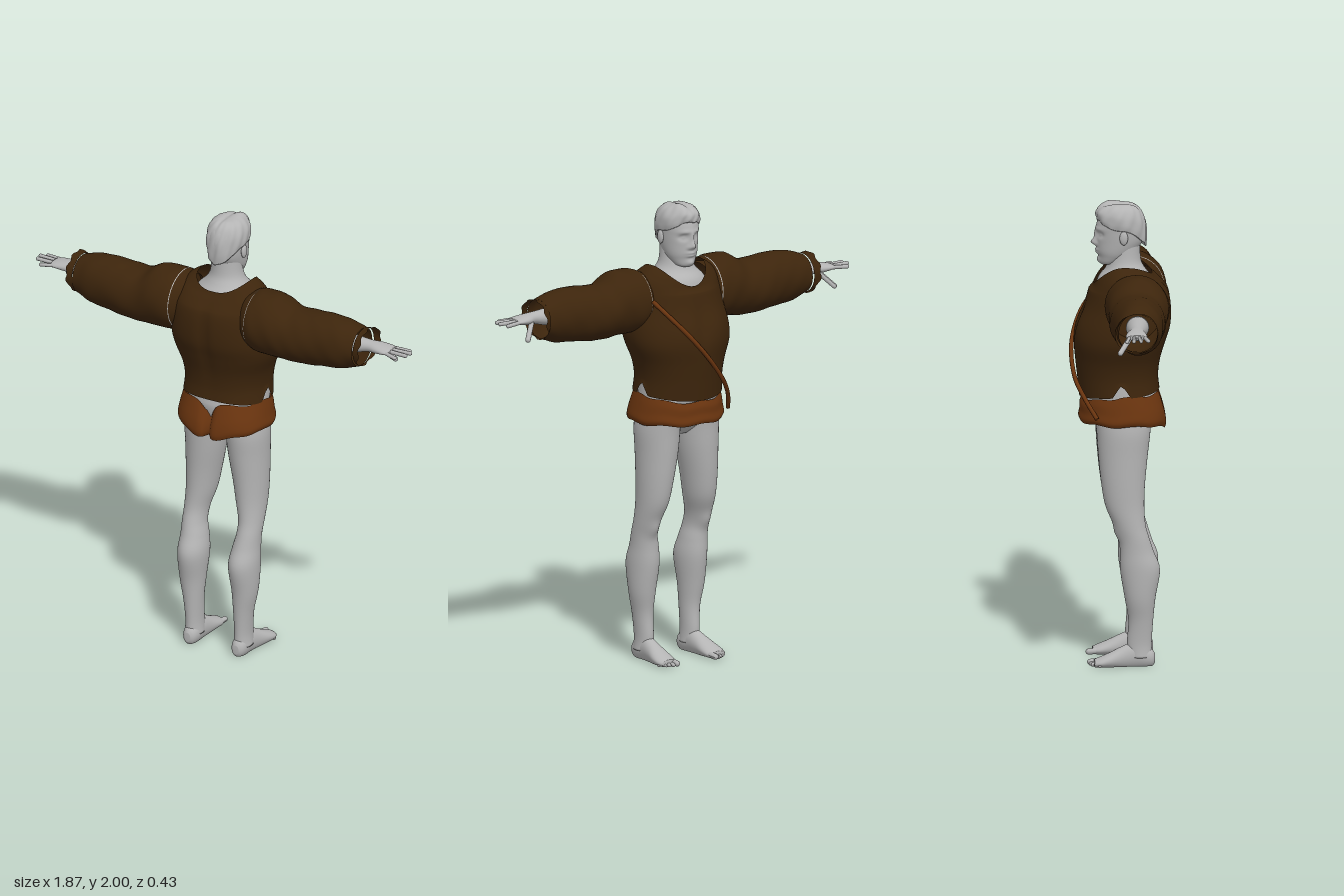
import * as THREE from 'three';

const { sin, cos, abs, sign, exp, max, PI } = Math;
const bell = (d, w) => exp(-(d * d) / (w * w));

// Smooth surface through elliptical rings [t, centreU, centreV, radiusU, radiusV] along one axis.
// Axis y: u = x, v = z.  Axis x: u = z, v = y.  Axis z: u = y, v = x.
function loft(rings, { axis = 'y', seg = 40, sub = 5, warp, eFront = 1, eBack = 1, caps = [true, true] } = {}) {
  const rows = [], pos = [], idx = [];
  for (let i = 0; i < rings.length - 1; i++) {
    const a = rings[max(i - 1, 0)], b = rings[i], c = rings[i + 1], d = rings[Math.min(i + 2, rings.length - 1)];
    const steps = i === rings.length - 2 ? sub + 1 : sub;
    for (let k = 0; k < steps; k++) {
      const f = k / sub;
      rows.push(b.map((_, n) => 0.5 * (2 * b[n] + (c[n] - a[n]) * f
        + (2 * a[n] - 5 * b[n] + 4 * c[n] - d[n]) * f * f + (3 * b[n] - a[n] - 3 * c[n] + d[n]) * f ** 3)));
    }
  }
  const place = (t, u, v, a) => {
    const p = axis === 'y' ? new THREE.Vector3(u, t, v)
      : axis === 'x' ? new THREE.Vector3(t, v, u) : new THREE.Vector3(v, u, t);
    if (warp) warp(p, a, t);
    pos.push(p.x, p.y, p.z);
  };
  for (const [t, cu, cv, ru, rv] of rows) {
    for (let j = 0; j < seg; j++) {
      const a = j / seg * 2 * PI, c = cos(a), s = sin(a), e = s < 0 ? eFront : eBack;
      place(t, cu + ru * sign(c) * abs(c) ** e, cv + rv * sign(s) * abs(s) ** e, a);
    }
  }
  const n = rows.length;
  for (let i = 0; i < n - 1; i++) for (let j = 0; j < seg; j++) {
    const k = (j + 1) % seg, p = i * seg, q = p + seg;
    idx.push(p + j, q + j, p + k, p + k, q + j, q + k);
  }
  [0, n - 1].forEach((r, end) => {
    if (!caps[end]) return;
    const centre = pos.length / 3;
    place(rows[r][0], rows[r][1], rows[r][2], 0);
    for (let j = 0; j < seg; j++) {
      const k = (j + 1) % seg;
      idx.push(centre, r * seg + (end ? k : j), r * seg + (end ? j : k));
    }
  });
  const g = new THREE.BufferGeometry();
  g.setAttribute('position', new THREE.Float32BufferAttribute(pos, 3));
  g.setIndex(idx);
  g.computeVertexNormals();
  return g;
}

// Rounded rod between two points
function rod(a, b, r) {
  const p = new THREE.Vector3(...a), q = new THREE.Vector3(...b), d = q.clone().sub(p);
  const g = new THREE.CapsuleGeometry(r, d.length(), 5, 10);
  g.applyQuaternion(new THREE.Quaternion().setFromUnitVectors(new THREE.Vector3(0, 1, 0), d.normalize()));
  return g.translate(...p.add(q).multiplyScalar(0.5).toArray());
}

const ball = (x, y, z, rx, ry, rz) => new THREE.SphereGeometry(1, 20, 14).scale(rx, ry, rz).translate(x, y, z);

// Mirror image across x = 0 with corrected winding
function mirror(g) {
  const m = g.clone().scale(-1, 1, 1), ix = m.index.array;
  for (let i = 0; i < ix.length; i += 3) [ix[i], ix[i + 1]] = [ix[i + 1], ix[i]];
  m.computeVertexNormals();
  return m;
}

export function createModel() {
  const root = new THREE.Group();
  const material = (name, color) => Object.assign(new THREE.MeshStandardMaterial({ color }), { name });
  const skin = material('skin grey', 0xb4b4b4);
  const cloth = material('dark brown cloth', 0x3d250c);
  const leather = material('russet leather', 0x6b350f);
  cloth.side = leather.side = THREE.DoubleSide;
  const add = (name, g, mat) => {
    const m = new THREE.Mesh(g, mat);
    m.name = name;
    root.add(m);
  };
  const pair = (name, g, mat) => {
    add('left ' + name, g, mat);
    add('right ' + name, mirror(g), mat);
  };

  // Trunk and neck
  add('body', loft([
    [0.99, 0, 0.01, 0.05, 0.05], [1.03, 0, 0.005, 0.13, 0.09], [1.08, 0, 0.005, 0.17, 0.13],
    [1.15, 0, 0, 0.18, 0.155], [1.2, 0, -0.005, 0.18, 0.155], [1.3, 0, -0.005, 0.175, 0.15],
    [1.4, 0, 0, 0.19, 0.16], [1.52, 0, 0.02, 0.19, 0.15], [1.61, 0, 0.025, 0.17, 0.135],
    [1.67, 0, 0.02, 0.13, 0.115], [1.71, 0, 0.02, 0.09, 0.085], [1.75, 0, 0.017, 0.071, 0.07],
    [1.82, 0, 0.02, 0.064, 0.064]]), skin);

  // Head with the face pressed into its front: [x, y, push, width, height]
  const face = [
    [0, 1.855, 0.010, 0.010, 0.030], [0, 1.825, 0.022, 0.012, 0.014], [0.014, 1.818, 0.008, 0.009, 0.008],
    [0.034, 1.862, -0.015, 0.018, 0.013], [0.033, 1.861, 0.008, 0.010, 0.007], [0.03, 1.885, 0.006, 0.025, 0.009],
    [0, 1.793, 0.010, 0.020, 0.006], [0, 1.780, 0.009, 0.018, 0.006], [0, 1.748, 0.010, 0.020, 0.014]];
  add('head', loft([
    [1.728, 0, -0.055, 0.022, 0.025], [1.738, 0, -0.045, 0.043, 0.043], [1.765, 0, -0.025, 0.06, 0.068],
    [1.79, 0, -0.015, 0.069, 0.084], [1.83, 0, -0.002, 0.076, 0.099], [1.87, 0, 0.002, 0.08, 0.105],
    [1.91, 0, 0.004, 0.082, 0.104], [1.95, 0, 0.005, 0.074, 0.09], [1.98, 0, 0.005, 0.05, 0.06]], {
    seg: 112, sub: 7, warp(p, a) {
      const x = p.x, y = p.y;
      if (sin(a) < -0.3) for (const [bx, by, push, w, h] of face)
        p.z -= push * bell(abs(x) - bx, w) * bell(y - by, h);
    } }), skin);
  pair('ear', ball(0.083, 1.855, 0.012, 0.010, 0.03, 0.018).rotateZ(0), skin);

  // Swept hair: hairline low at the nape, high on the forehead
  add('hair', loft([
    [1.885, 0, 0.004, 0.085, 0.106], [1.91, 0, 0.004, 0.089, 0.109], [1.945, 0, 0.003, 0.086, 0.105],
    [1.975, 0, 0.003, 0.07, 0.085], [1.99, 0, 0.002, 0.045, 0.055], [1.994, 0, 0.002, 0.012, 0.015]], {
    seg: 96, warp(p, a, t) {
      const f = max(0, (1.99 - t) / 0.105), s = sin(a);
      p.y += f * (s < 0 ? 0.045 * s * s : -0.075 * s * s);
      const swell = 1 + 0.018 * sin(13 * a + 60 * t) + 0.012 * sin(7 * a - 40 * t);
      p.x *= swell;
      p.z *= swell;
      p.y += 0.010 * bell(p.x - 0.03, 0.025) * bell(p.z + 0.05, 0.04) - 0.006 * bell(p.x + 0.01, 0.012);
    } }), skin);

  // Legs and feet
  pair('leg', loft([
    [0.04, 0.122, 0.08, 0.04, 0.052], [0.1, 0.122, 0.077, 0.036, 0.053], [0.2, 0.125, 0.083, 0.042, 0.053],
    [0.3, 0.13, 0.08, 0.055, 0.066], [0.42, 0.127, 0.08, 0.064, 0.085], [0.5, 0.13, 0.066, 0.057, 0.072],
    [0.56, 0.136, 0.055, 0.051, 0.064], [0.62, 0.135, 0.035, 0.053, 0.068], [0.7, 0.125, 0.015, 0.064, 0.083],
    [0.8, 0.117, 0.008, 0.074, 0.094], [0.92, 0.107, 0.008, 0.085, 0.106], [1.02, 0.103, 0.01, 0.09, 0.115],
    [1.1, 0.098, 0.005, 0.084, 0.12]], { warp(p) {
    p.z -= 0.012 * bell(p.x - 0.136, 0.03) * bell(p.y - 0.58, 0.035) * (p.z < 0.05 ? 1 : 0);
  } }), skin);
  pair('foot', loft([
    [-0.115, 0.014, 0.132, 0.016, 0.035], [-0.09, 0.018, 0.131, 0.022, 0.047], [-0.05, 0.026, 0.129, 0.032, 0.047],
    [0, 0.036, 0.125, 0.047, 0.04], [0.05, 0.045, 0.122, 0.057, 0.036], [0.1, 0.04, 0.121, 0.05, 0.036],
    [0.13, 0.035, 0.121, 0.038, 0.028], [0.143, 0.033, 0.121, 0.02, 0.014]],
  { axis: 'z', warp(p) { p.y = max(p.y, 0); } }), skin);
  for (let i = 0; i < 5; i++) {
    const x = 0.1 + i * 0.0165, r = i ? 0.0085 : 0.013;
    pair('toe ' + (i + 1), rod([x, r + 0.004, -0.09], [x + 0.003, r, -0.132 + i * i * 0.0025], r), skin);
  }

  // Forearms, palms, fingers and thumbs
  pair('hand', loft([
    [0.58, 0.055, 1.575, 0.05, 0.05], [0.68, 0.05, 1.582, 0.038, 0.035], [0.735, 0.048, 1.587, 0.031, 0.026],
    [0.78, 0.044, 1.587, 0.042, 0.023], [0.82, 0.044, 1.587, 0.046, 0.017], [0.845, 0.044, 1.587, 0.042, 0.011]],
  { axis: 'x' }), skin);
  [[0.012, 0.905, 0.0], [0.034, 0.925, 0.029], [0.055, 0.92, 0.06], [0.076, 0.885, 0.092]].forEach(([z, x, tip], i) =>
    pair('finger ' + (i + 1), rod([0.825, 1.587, z], [x, 1.592 - abs(i - 1.5) * 0.006, tip], 0.0088), skin));
  pair('thumb', rod([0.765, 1.575, 0.02], [0.818, 1.515, -0.025], 0.0115), skin);

  // Vest: scooped neckline, spine groove, notched hem at the sides
  add('vest', loft([
    [1.18, 0, -0.005, 0.193, 0.171], [1.25, 0, -0.012, 0.188, 0.173], [1.32, 0, -0.012, 0.2, 0.181],
    [1.4, 0, -0.004, 0.23, 0.196], [1.47, 0, 0.013, 0.236, 0.2], [1.55, 0, 0.03, 0.225, 0.186],
    [1.62, 0, 0.034, 0.214, 0.17], [1.68, 0, 0.025, 0.195, 0.145], [1.715, 0, 0.015, 0.16, 0.13],
    [1.735, 0, 0.01, 0.124, 0.125]], {
    seg: 96, eBack: 0.82, caps: [false, false], warp(p, a, t) {
      const s = sin(a), top = max(0, (t - 1.62) / 0.115), hem = max(0, (1.25 - t) / 0.07);
      p.y -= top * s * s * (s < 0 ? 0.085 : 0.042);
      p.y += hem * (0.06 * max(0, 1 - abs(p.z) / 0.04) + (s < 0 ? -0.02 : 0.015) * s * s);
      if (s > 0) p.z -= 0.012 * bell(p.x, 0.025) * bell(t - 1.5, 0.16);
      else p.z -= 0.008 * (bell(abs(p.x) - 0.09, 0.06) - bell(p.x, 0.03)) * bell(t - 1.48, 0.08);
    } }), cloth);

  // Puffed sleeves, shoulder seams and torn cuffs
  pair('sleeve', loft([
    [0.15, 0.055, 1.59, 0.11, 0.11], [0.19, 0.06, 1.588, 0.132, 0.13], [0.23, 0.065, 1.585, 0.137, 0.138],
    [0.3, 0.067, 1.583, 0.129, 0.137], [0.37, 0.063, 1.562, 0.121, 0.121], [0.45, 0.06, 1.563, 0.119, 0.12],
    [0.54, 0.06, 1.572, 0.107, 0.118], [0.62, 0.06, 1.573, 0.1, 0.111], [0.67, 0.056, 1.575, 0.09, 0.096],
    [0.7, 0.055, 1.575, 0.084, 0.085]], {
    axis: 'x', seg: 48, caps: [false, false], warp(p, a, t) {
      const fold = 1 + 0.012 * sin(5 * a + 22 * t) * sin(48 * t);
      p.y = 1.575 + (p.y - 1.575) * fold;
      p.z = 0.06 + (p.z - 0.06) * fold;
    } }), cloth);
  pair('shoulder seam', loft([[0.187, 0.06, 1.588, 0.132, 0.131], [0.19, 0.06, 1.588, 0.1335, 0.1325]],
    { axis: 'x', sub: 1, caps: [false, false] }), skin);
  pair('cuff', loft([[0.703, 0.05, 1.577, 0.086, 0.083], [0.72, 0.048, 1.577, 0.089, 0.085], [0.738, 0.046, 1.577, 0.092, 0.089]], {
    axis: 'x', seg: 72, caps: [false, false], warp(p, a, t) {
      const f = (t - 0.703) / 0.035;
      p.x -= f * (0.026 * max(0, -sin(a)) + 0.005 * (1 + sin(9 * a)));
    } }), cloth);

  // Leather wrap around the hips, cleft and lobed at the back
  add('hip wrap', loft([
    [1.055, 0, 0.008, 0.203, 0.183], [1.075, 0, 0.008, 0.211, 0.188], [1.11, 0, 0.008, 0.205, 0.183],
    [1.15, 0, 0.002, 0.197, 0.176], [1.183, 0, 0, 0.189, 0.165]], {
    seg: 96, eBack: 0.85, caps: [false, false], warp(p, a, t) {
      const s = sin(a), top = (t - 1.055) / 0.128;
      if (s > 0) {
        p.y -= (1 - top) * 0.032 * s * bell(abs(p.x) - 0.05, 0.08) + top * 0.055 * bell(p.x, 0.03) * s;
        p.z -= 0.03 * bell(p.x, 0.016) * s;
      } else p.y -= top * 0.03 * -s;
      p.y += 0.004 * sin(7 * a);
    } }), leather);

  // Strap running diagonally over the chest to the hip
  const path = new THREE.CatmullRomCurve3([
    [0.185, 1.6, -0.07], [0.14, 1.53, -0.145], [0.075, 1.45, -0.19], [0, 1.36, -0.21],
    [-0.09, 1.25, -0.196], [-0.15, 1.17, -0.155], [-0.19, 1.09, -0.105]].map(p => new THREE.Vector3(...p)));
  add('chest strap', new THREE.TubeGeometry(path, 48, 0.0095, 8), leather);

  return root;
}
